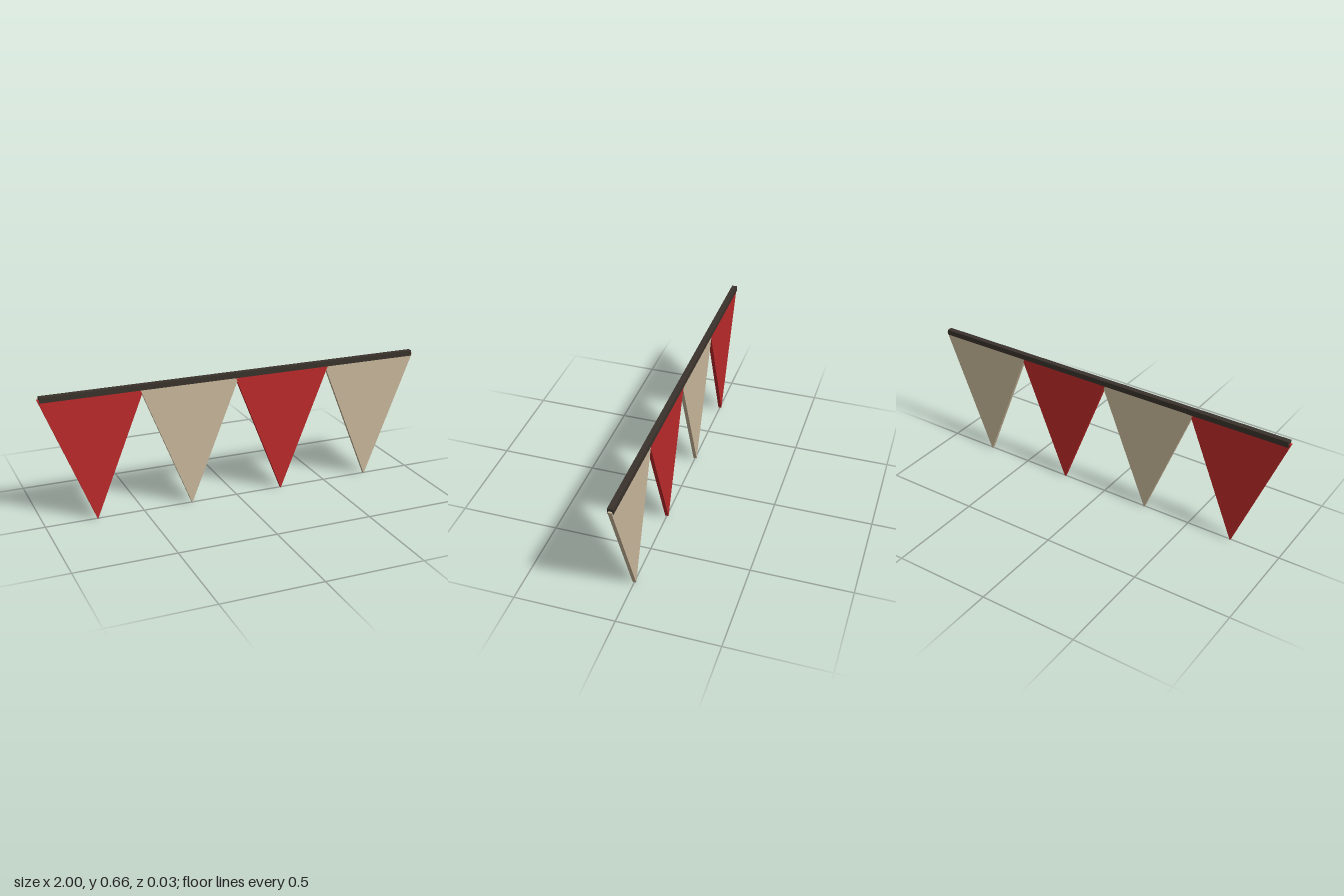
import * as THREE from 'three';

export function createModel() {
  const group = new THREE.Group();
  const material = (name, color) => {
    const m = new THREE.MeshStandardMaterial({ color });
    m.name = name;
    return m;
  };
  const red = material('red cloth', 0xbc2a2a);
  const beige = material('beige cloth', 0xcab99b);
  const dark = material('dark wood', 0x3a322c);

  // Square rail along the top
  const rail = new THREE.Mesh(new THREE.BoxGeometry(1.98, 0.028, 0.028), dark);
  rail.name = 'rail';
  rail.position.y = 0.648;
  group.add(rail);

  // One triangular pennant, point down, shared by all four
  const half = 0.26, top = 0.648, depth = 0.018;
  const triangle = new THREE.Shape([
    new THREE.Vector2(0, 0),
    new THREE.Vector2(half, top),
    new THREE.Vector2(-half, top),
  ]);
  const geometry = new THREE.ExtrudeGeometry(triangle, { depth, bevelEnabled: false });
  geometry.translate(0, 0, -depth / 2);

  // Alternating pennants, their top corners overlapping inside the rail
  for (let i = 0; i < 4; i++) {
    const pennant = new THREE.Mesh(geometry, i % 2 ? beige : red);
    pennant.name = `pennant${i + 1}`;
    pennant.position.x = (i - 1.5) * 0.4933;
    group.add(pennant);
  }
  return group;
}
